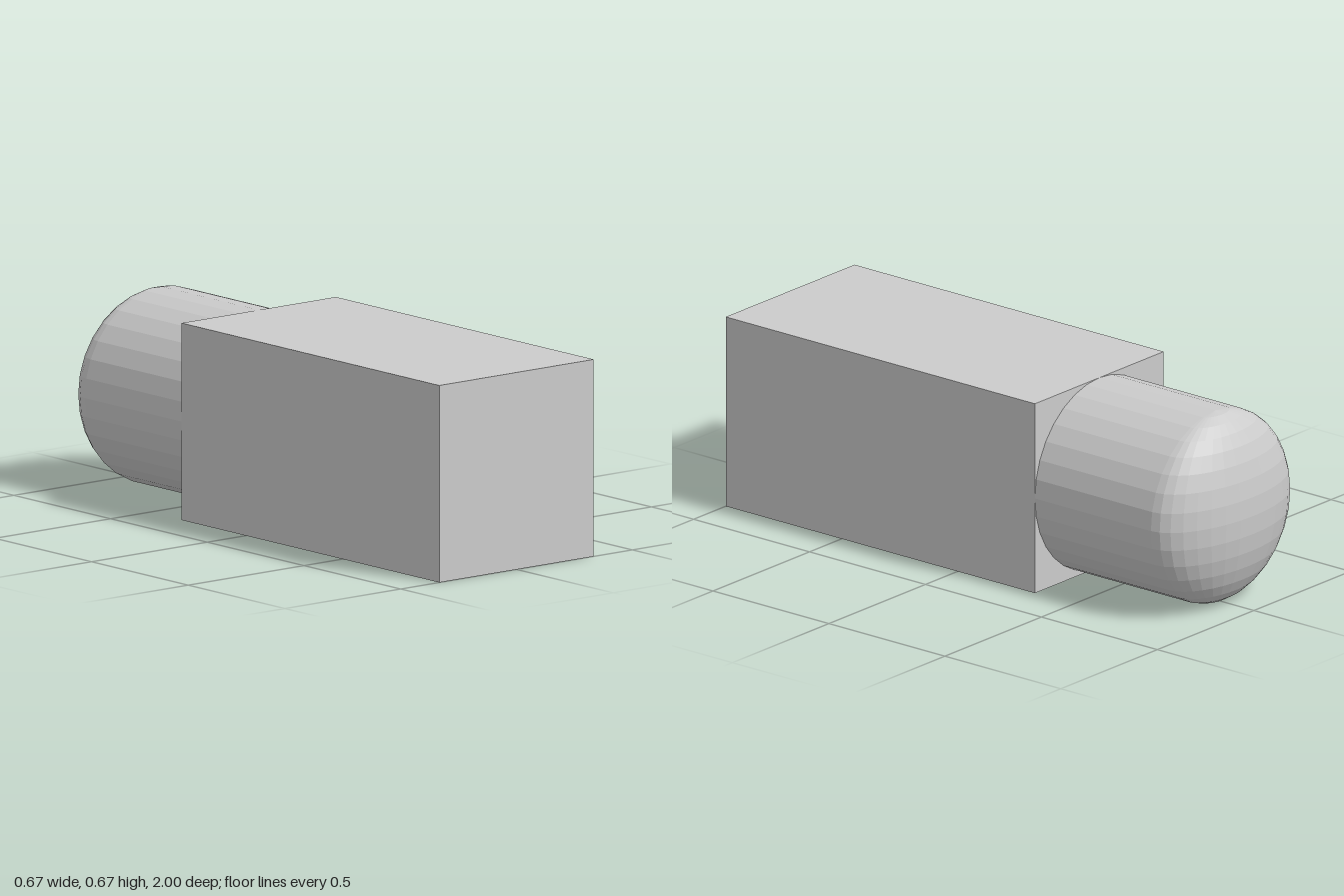
import * as THREE from 'three';

const R = 1 / 3;        // half width of the block and radius of the barrel
const DOME = 1 / 6;     // depth of the flattened dome
const JOIN = -1 / 3;    // z where block and barrel meet

export function createModel() {
  const group = new THREE.Group();
  const material = new THREE.MeshStandardMaterial({ color: 0xcccccc, flatShading: true });

  const add = (name, geometry, z) => {
    const mesh = new THREE.Mesh(geometry, material);
    mesh.name = name;
    mesh.position.set(0, R, z);
    group.add(mesh);
    return mesh;
  };

  // Square block at the front
  const blockLength = 1 - JOIN;
  add('block', new THREE.BoxGeometry(2 * R, 2 * R, blockLength), JOIN + blockLength / 2);

  // Round barrel behind it, lying along z
  const domeZ = -1 + DOME;
  const barrelLength = JOIN - domeZ;
  const barrel = new THREE.CylinderGeometry(R, R, barrelLength, 32).rotateX(Math.PI / 2);
  add('barrel', barrel, domeZ + barrelLength / 2);

  // Flattened half sphere closing the back, poles up and down
  const dome = new THREE.SphereGeometry(R, 16, 16, Math.PI, Math.PI);
  dome.scale(1, 1, DOME / R);
  add('dome', dome, domeZ);

  return group;
}
